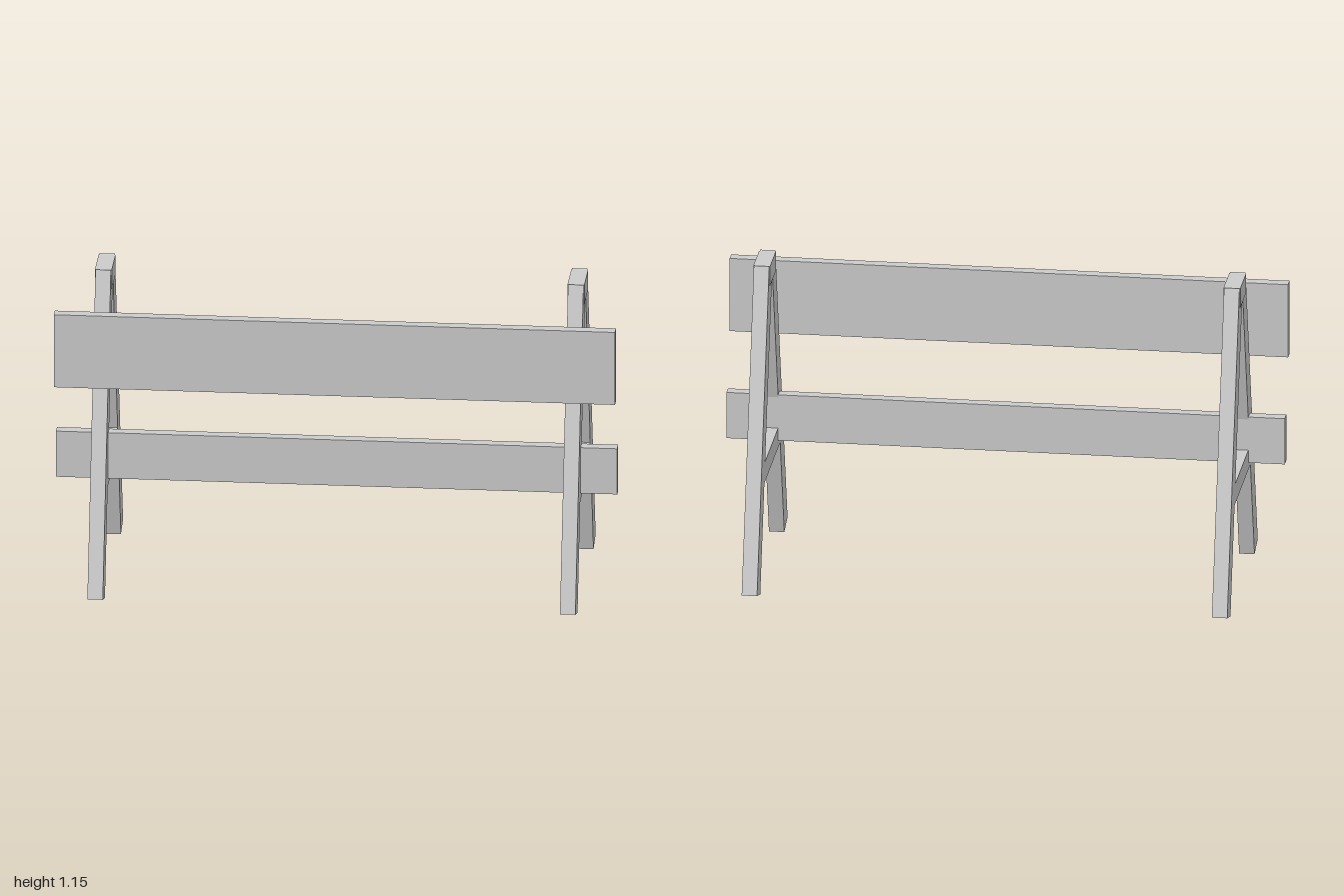
import * as THREE from 'three';

const material = new THREE.MeshStandardMaterial({ color: 0xcccccc, flatShading: true });
const TILT = 0.2786; // lean of each leg
const THICK = 0.055; // timber thickness along x

function box(name, w, h, d, x, y, z) {
  const mesh = new THREE.Mesh(new THREE.BoxGeometry(w, h, d), material);
  mesh.name = name;
  mesh.position.set(x, y, z);
  return mesh;
}

// Cross rail with ends mitred to meet the inner faces of the legs
function crossRail() {
  const shape = new THREE.Shape([
    new THREE.Vector2(-0.21, 0.38),
    new THREE.Vector2(0.21, 0.38),
    new THREE.Vector2(0.189, 0.454),
    new THREE.Vector2(-0.189, 0.454),
  ]);
  const geometry = new THREE.ExtrudeGeometry(shape, { depth: THICK, bevelEnabled: false });
  geometry.translate(0, 0, -THICK / 2);
  geometry.rotateY(Math.PI / 2);
  const mesh = new THREE.Mesh(geometry, material);
  mesh.name = 'crossRail';
  return mesh;
}

// A-shaped end frame: two splayed legs, cross rail and top block
function endFrame(name, x) {
  const frame = new THREE.Group();
  frame.name = name;
  for (const side of [1, -1]) {
    const leg = box(side > 0 ? 'frontLeg' : 'backLeg', THICK, 1.175, 0.09, 0, 0.577, side * 0.2005);
    leg.rotation.x = -side * TILT;
    frame.add(leg);
  }
  frame.add(crossRail());
  frame.add(box('topBlock', 0.06, 0.073, 0.15, 0, 1.1155, 0));
  frame.position.x = x;
  return frame;
}

export function createModel() {
  const model = new THREE.Group();
  model.name = 'barricade';
  model.add(endFrame('leftFrame', 0.842), endFrame('rightFrame', -0.842));
  // Horizontal boards
  model.add(box('upperBoard', 2, 0.275, 0.041, 0, 0.9175, 0.264));
  model.add(box('lowerBoard', 2, 0.173, 0.041, 0, 0.4935, 0.176));
  return model;
}
